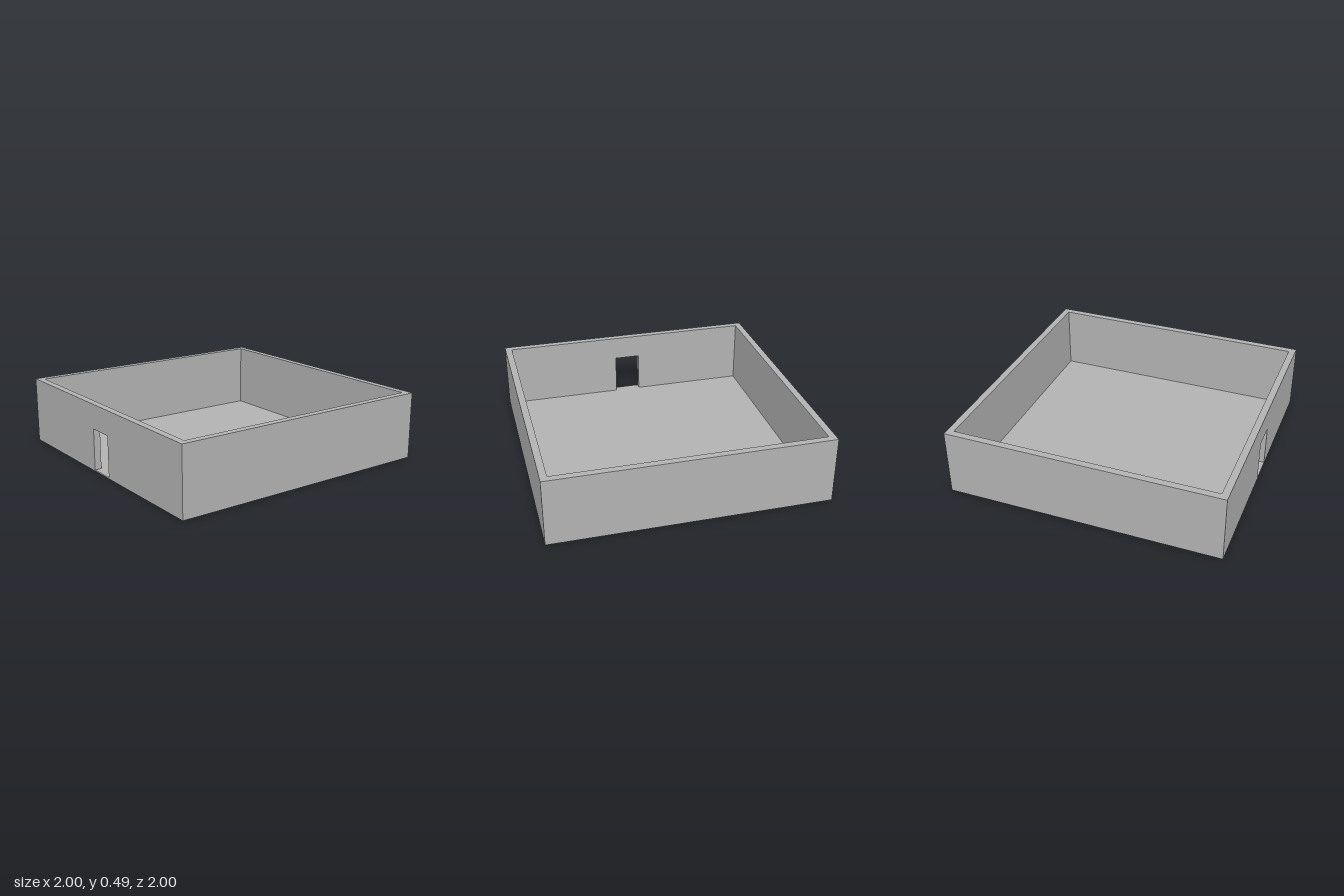
import * as THREE from 'three';

const SIZE = 2, HEIGHT = 0.49, WALL = 0.05, FLOOR = 0.01;
const DOOR_HALF = 0.097, DOOR_TOP = 0.31;

export function createModel() {
  const room = new THREE.Group();
  room.name = 'room';
  const grey = new THREE.MeshStandardMaterial({ color: 0xb2b2b2 });
  grey.name = 'plain grey';

  const add = (name, geometry, x, y, z) => {
    const mesh = new THREE.Mesh(geometry, grey);
    mesh.name = name;
    mesh.position.set(x, y, z);
    room.add(mesh);
    return mesh;
  };

  const inner = SIZE - 2 * WALL;
  const wallHeight = HEIGHT - FLOOR;
  const wallY = FLOOR + wallHeight / 2;
  const offset = (SIZE - WALL) / 2;

  // Thin floor slab under the walls
  add('floor', new THREE.BoxGeometry(SIZE, FLOOR, SIZE), 0, FLOOR / 2, 0);

  // Solid walls: front and back run the full width, the left one fits between
  add('frontWall', new THREE.BoxGeometry(SIZE, wallHeight, WALL), 0, wallY, offset);
  add('backWall', new THREE.BoxGeometry(SIZE, wallHeight, WALL), 0, wallY, -offset);
  add('leftWall', new THREE.BoxGeometry(WALL, wallHeight, inner), offset, wallY, 0);

  // Right wall with a doorway notched up from the floor
  const outline = new THREE.Shape([
    [-inner / 2, FLOOR], [-DOOR_HALF, FLOOR], [-DOOR_HALF, DOOR_TOP],
    [DOOR_HALF, DOOR_TOP], [DOOR_HALF, FLOOR], [inner / 2, FLOOR],
    [inner / 2, HEIGHT], [-inner / 2, HEIGHT],
  ].map(([x, y]) => new THREE.Vector2(x, y)));
  const doorWall = new THREE.ExtrudeGeometry(outline, { depth: WALL, bevelEnabled: false });
  add('doorWall', doorWall, -SIZE / 2, 0, 0).rotation.y = Math.PI / 2;

  return room;
}
